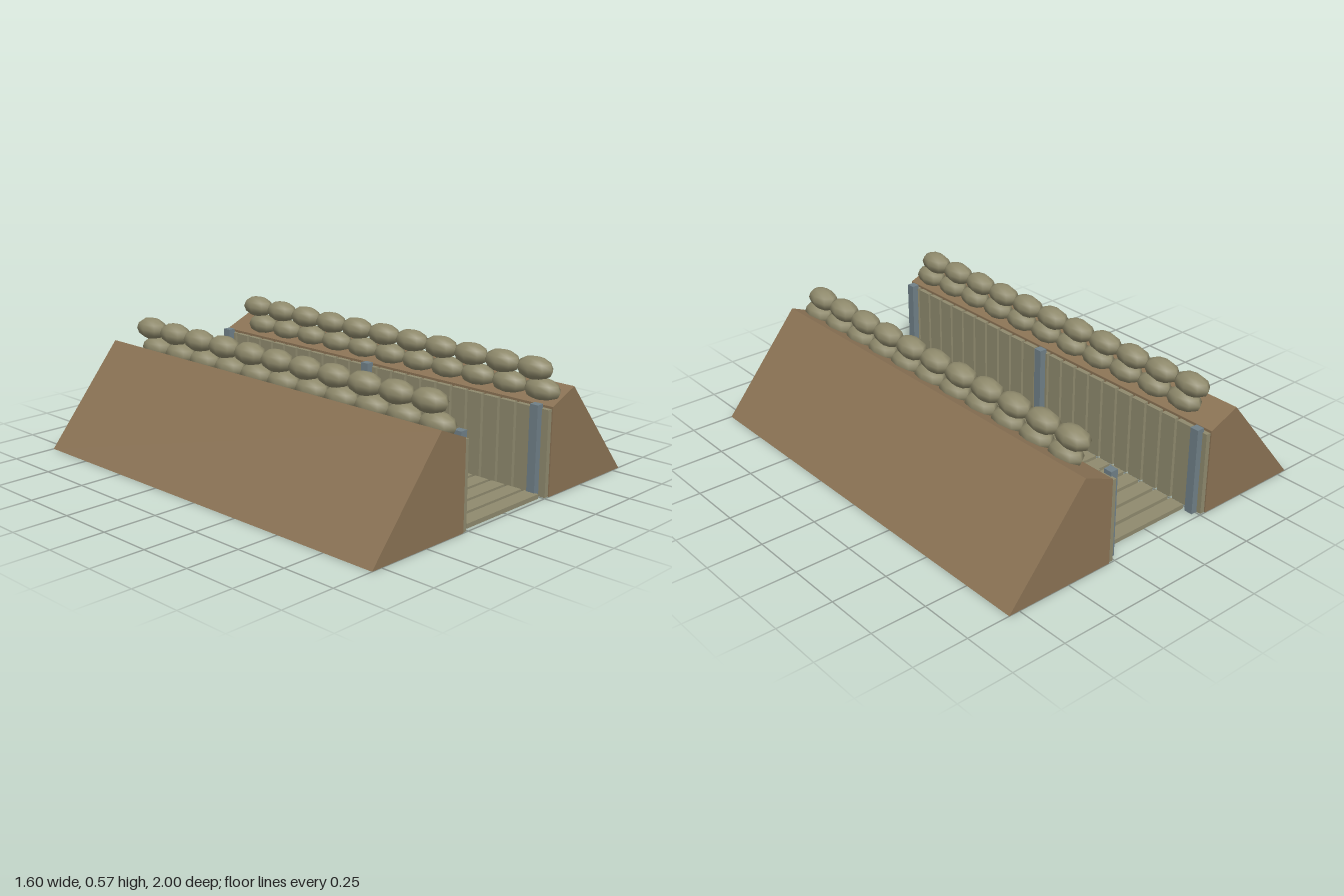
import * as THREE from 'three';

const earth = new THREE.MeshStandardMaterial({ color: 0x8b7355 });
earth.name = 'earth';
const timber = new THREE.MeshStandardMaterial({ color: 0x8f8a6e });
timber.name = 'timber';
const steel = new THREE.MeshStandardMaterial({ color: 0x708088 });
steel.name = 'steel';
const canvas = new THREE.MeshStandardMaterial({ color: 0x8f8a6c });
canvas.name = 'canvas';

function add(parent, name, geometry, material, x, y, z) {
  const mesh = new THREE.Mesh(geometry, material);
  mesh.name = name;
  mesh.position.set(x, y, z);
  parent.add(mesh);
  return mesh;
}

// Earth bank cross-section, mirrored by the sign of the side
function bankGeometry(side) {
  const points = [[0.28, 0], [0.8, 0], [0.425, 0.45], [0.28, 0.39]];
  const shape = new THREE.Shape(points.map(([x, y]) => new THREE.Vector2(side * x, y)));
  return new THREE.ExtrudeGeometry(shape, { depth: 2, bevelEnabled: false }).translate(0, 0, -1);
}

export function createModel() {
  const model = new THREE.Group();
  model.name = 'trench';

  const pitch = 0.0871;
  const floorBoard = new THREE.BoxGeometry(0.465, 0.02, 0.07);
  const wallBoard = new THREE.BoxGeometry(0.022, 0.38, 0.074);
  const post = new THREE.BoxGeometry(0.036, 0.4, 0.04);
  const bag = new THREE.SphereGeometry(1, 8, 6).scale(0.055, 0.05, 0.09);

  // Duckboard floor
  const floor = new THREE.Group();
  floor.name = 'floorBoards';
  model.add(floor);
  for (let i = 0; i < 22; i++) add(floor, 'floorBoard', floorBoard, timber, 0, 0.01, -0.884 + i * pitch);

  for (const side of [1, -1]) {
    const wall = new THREE.Group();
    wall.name = side > 0 ? 'leftWall' : 'rightWall';
    model.add(wall);

    add(wall, 'earthBank', bankGeometry(side), earth, 0, 0, 0);

    // Vertical revetment boards held by three posts
    for (let i = -11; i <= 11; i++) add(wall, 'wallBoard', wallBoard, timber, side * 0.268, 0.19, i * pitch);
    for (const z of [-0.953, -0.006, 0.942]) add(wall, 'post', post, steel, side * 0.245, 0.2, z);

    // Two staggered rows of sandbags
    for (let i = 0; i < 11; i++) {
      add(wall, 'lowerSandbag', bag, canvas, side * 0.335, 0.435, 0.905 - i * 0.17);
      add(wall, 'upperSandbag', bag, canvas, side * 0.335, 0.52, 0.863 - i * 0.1695);
    }
  }
  return model;
}
